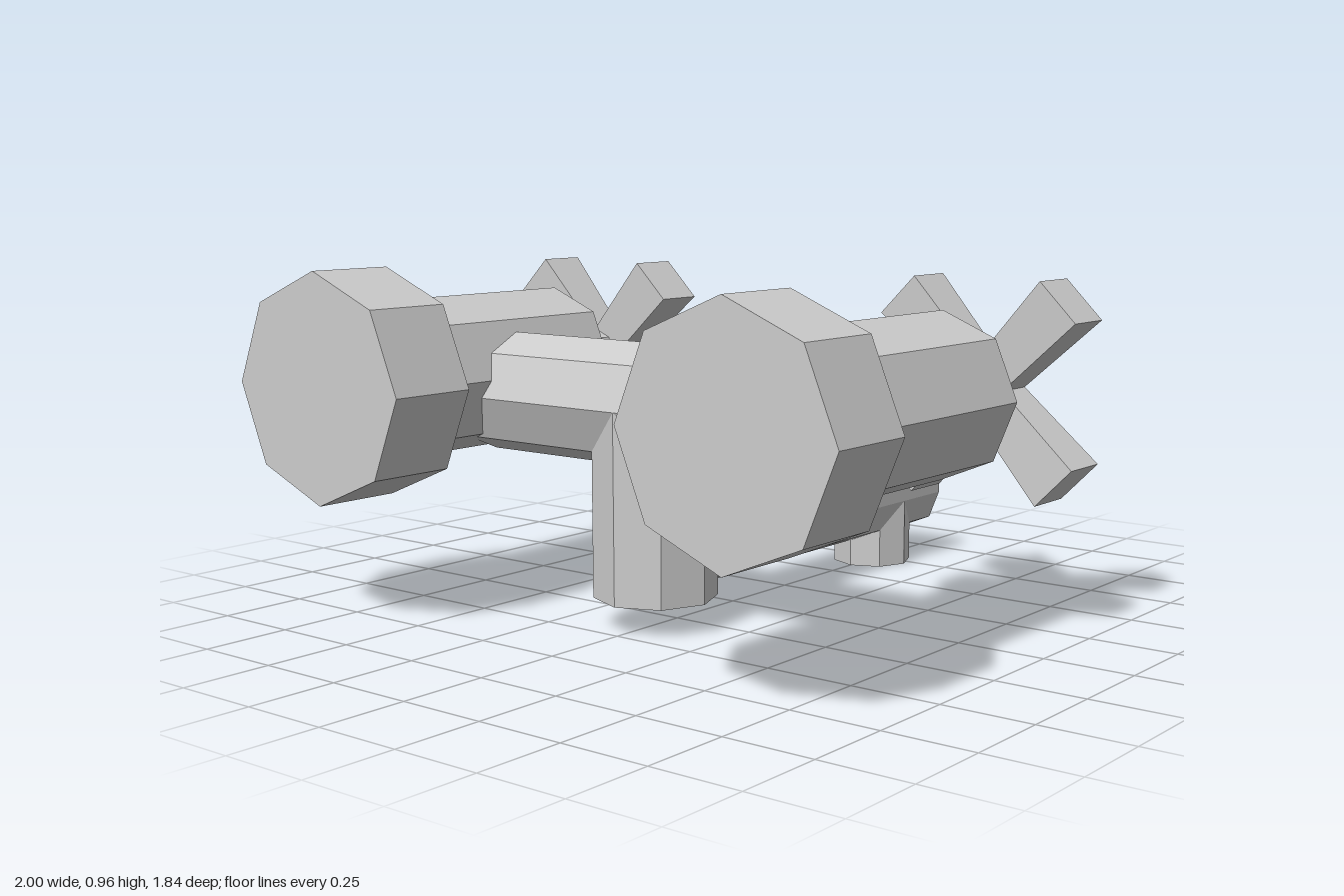
import * as THREE from 'three';

const material = new THREE.MeshStandardMaterial({ color: 0xcccccc, flatShading: true });

function addMesh(parent, name, geometry, x = 0, y = 0, z = 0) {
  const mesh = new THREE.Mesh(geometry, material);
  mesh.name = name;
  mesh.position.set(x, y, z);
  parent.add(mesh);
  return mesh;
}

// Octagonal bar with corners on its axes, running along x, y or z
function octagon(radius, length, axis) {
  const g = new THREE.CylinderGeometry(radius, radius, length, 8);
  if (axis === 'x') g.rotateZ(Math.PI / 2);
  if (axis === 'z') g.rotateX(Math.PI / 2);
  return g;
}

// Handle arm pointing up from the hub, flaring towards its tip
function flaredArm(base, tip, hubWidth, hubDepth, tipSize) {
  const g = new THREE.BoxGeometry(1, tip - base, 1).translate(0, (tip + base) / 2, 0);
  const p = g.attributes.position;
  const middle = (tip + base) / 2;
  for (let i = 0; i < p.count; i++) {
    const outer = p.getY(i) > middle;
    p.setX(i, p.getX(i) * (outer ? tipSize : hubWidth));
    p.setZ(i, p.getZ(i) * (outer ? tipSize : hubDepth));
  }
  g.computeVertexNormals();
  return g;
}

// Four-armed cross handle, turned 45 degrees
function crossHandle() {
  const handle = new THREE.Group();
  handle.name = 'crossHandle';
  const hub = 0.113, depth = 0.12;
  addMesh(handle, 'handleHub', new THREE.BoxGeometry(hub, hub, depth));
  const armGeometry = flaredArm(hub / 2, 0.343, hub, depth, 0.148);
  for (let i = 0; i < 4; i++) {
    addMesh(handle, 'handleArm', armGeometry).rotation.z = i * Math.PI / 2;
  }
  handle.rotation.z = Math.PI / 4;
  return handle;
}

// Valve: wall flange, body, stem and handle along z
function valve(side) {
  const group = new THREE.Group();
  group.name = side > 0 ? 'leftValve' : 'rightValve';
  addMesh(group, 'flange', octagon(0.315, 0.255, 'z'), 0, 0, 0.7925);
  addMesh(group, 'valveBody', octagon(0.222, 0.68, 'z'), 0, 0, 0.34);
  addMesh(group, 'stem', octagon(0.088, 0.2, 'z'), 0, 0, -0.09);
  const handle = crossHandle();
  handle.position.z = -0.235;
  group.add(handle);
  group.position.set(side * 0.685, 0.648, 0);
  return group;
}

// Spout: flat top and straight sides over a half-octagon underside
function spoutGeometry(r, rise, length) {
  const shape = new THREE.Shape();
  shape.moveTo(r, rise);
  shape.lineTo(-r, rise);
  for (let i = 0; i <= 4; i++) {
    const a = Math.PI + i * Math.PI / 4;
    shape.lineTo(r * Math.cos(a), r * Math.sin(a));
  }
  shape.closePath();
  return new THREE.ExtrudeGeometry(shape, { depth: length, bevelEnabled: false });
}

export function createModel() {
  const model = new THREE.Group();
  model.name = 'tap';
  model.add(valve(1), valve(-1));
  addMesh(model, 'crossPipe', octagon(0.17, 1.2, 'x'), 0, 0.6, 0.34);
  addMesh(model, 'downPipe', octagon(0.17, 0.52, 'y'), 0, 0.34, 0.34);
  addMesh(model, 'spout', spoutGeometry(0.12, 0.085, 1.22), 0, 0.2, -0.92);
  addMesh(model, 'nozzle', octagon(0.12, 0.2, 'y'), 0, 0.1, -0.717);
  return model;
}
